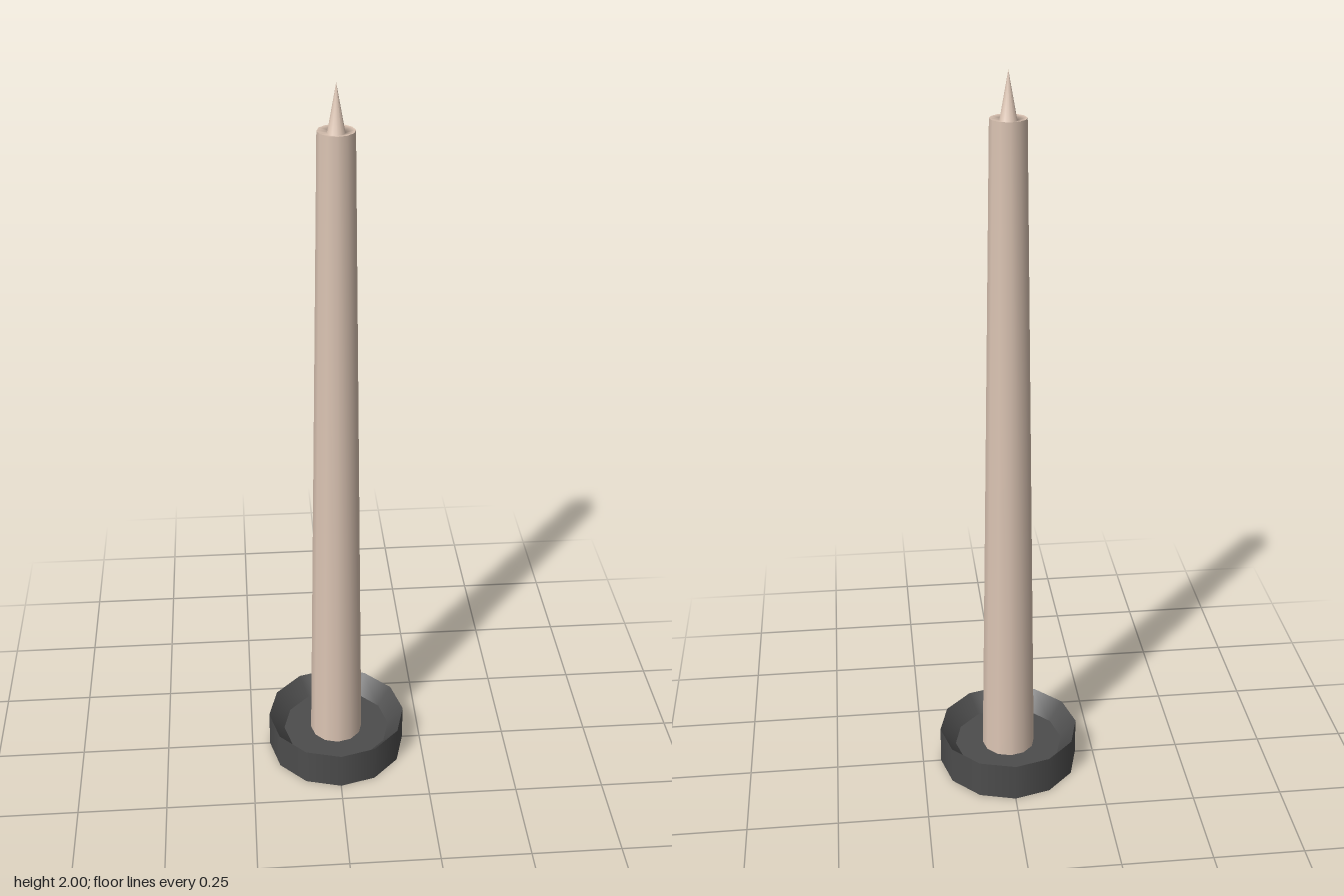
import * as THREE from 'three';

const SIDES = 12;
const wax = new THREE.MeshStandardMaterial({ color: 0xdcc5b4, side: THREE.DoubleSide });
const iron = new THREE.MeshStandardMaterial({ color: 0x4d4d4d, side: THREE.DoubleSide });

// Smooth twelve-sided surface of revolution; separate calls keep creases sharp
function turned(name, material, profile) {
  const points = profile.map(([r, y]) => new THREE.Vector2(r, y));
  const mesh = new THREE.Mesh(new THREE.LatheGeometry(points, SIDES), material);
  mesh.name = name;
  return mesh;
}

export function createModel() {
  const model = new THREE.Group();
  model.name = 'candle';

  // Shallow dish, hollow underneath
  const dish = new THREE.Group();
  dish.name = 'dish';
  dish.add(
    turned('dishWall', iron, [[0.198, 0], [0.198, 0.11]]),
    turned('dishSlope', iron, [[0.198, 0.11], [0.154, 0.058]]),
    turned('dishFloor', iron, [[0.154, 0.058], [0, 0.058]]),
  );

  // Tapered stick, its open foot just piercing the dish floor
  const stick = new THREE.Group();
  stick.name = 'stick';
  stick.add(
    turned('shaft', wax, [[0.075, 0.05], [0.047, 1.885]]),
    // Top face flows smoothly into the pointed wick
    turned('topAndWick', wax, [[0.047, 1.885], [0.022, 1.879], [0, 2]]),
  );

  model.add(dish, stick);
  return model;
}
